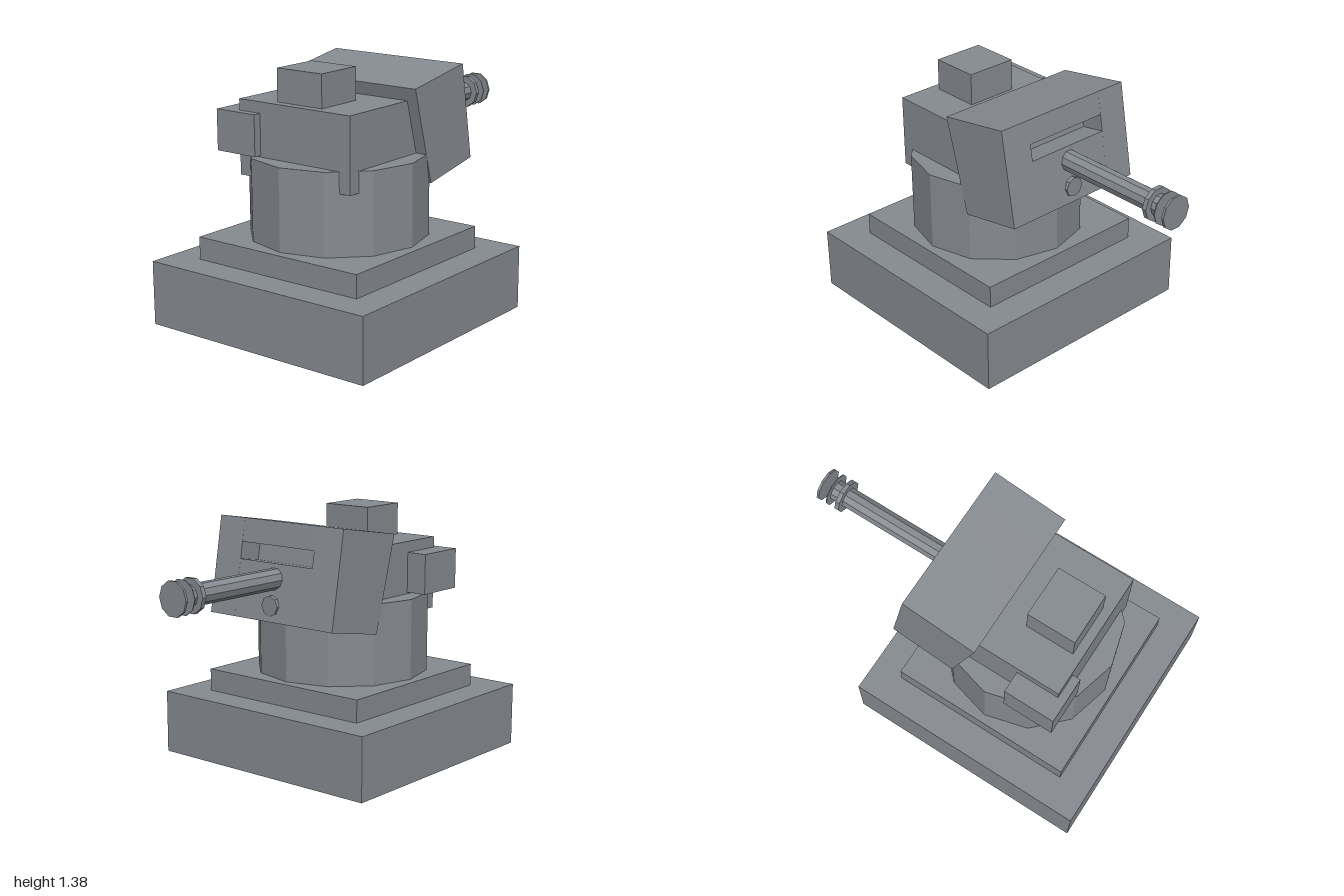
import * as THREE from 'three';

export function createModel() {
  const model = new THREE.Group();
  model.name = 'gunTurret';
  const material = new THREE.MeshStandardMaterial({ color: 0x868b91, flatShading: true });

  function add(name, geometry, parent = model) {
    const mesh = new THREE.Mesh(geometry, material);
    mesh.name = name;
    parent.add(mesh);
    return mesh;
  }

  // Box given by its extents on each axis
  function box(name, x0, x1, y0, y1, z0, z1) {
    const mesh = add(name, new THREE.BoxGeometry(x1 - x0, y1 - y0, z1 - z0));
    mesh.position.set((x0 + x1) / 2, (y0 + y1) / 2, (z0 + z1) / 2);
  }

  // Cylinder lying along x
  function rod(name, x0, x1, y, radius, sides) {
    const geometry = new THREE.CylinderGeometry(radius, radius, x1 - x0, sides).rotateZ(-Math.PI / 2);
    add(name, geometry).position.set((x0 + x1) / 2, y, 0);
  }

  // Stepped base
  box('base', -1, 0.387, 0, 0.347, -0.693, 0.693);
  box('plinth', -0.825, 0.213, 0.347, 0.47, -0.52, 0.52);

  // Twelve-sided turning drum
  add('drum', new THREE.CylinderGeometry(0.477, 0.477, 0.44, 12)).position.set(-0.307, 0.692, 0);

  // Turret housing with its hatch and side box
  box('housing', -0.667, 0, 0.8, 1.2, -0.36, 0.36);
  box('hatch', -0.617, -0.343, 1.2, 1.375, -0.145, 0.145);
  box('sideBox', -0.712, -0.425, 0.92, 1.14, -0.477, -0.22);

  // Tilted shield: plain slices either side of a notched slice that holds the viewing slot
  const shield = new THREE.Group();
  shield.name = 'shield';
  model.add(shield);
  const outline = [[-0.215, 1.27], [-0.07, 0.752], [0.3, 0.82], [0.21, 1.342]];
  const slot = [[0.247, 1.125], [0.109, 1.101], [0.093, 1.191], [0.231, 1.215]];
  const notched = [...outline.slice(0, 3), ...slot, outline[3]];

  function slice(name, points, z0, z1) {
    const shape = new THREE.Shape(points.map(([x, y]) => new THREE.Vector2(x, y)));
    const geometry = new THREE.ExtrudeGeometry(shape, { depth: z1 - z0, bevelEnabled: false });
    add(name, geometry.translate(0, 0, z0), shield);
  }
  slice('shieldLeft', outline, 0.25, 0.425);
  slice('shieldSlot', notched, -0.25, 0.25);
  slice('shieldRight', outline, -0.425, -0.25);

  // Gun barrel with muzzle discs, and the small sight below it
  rod('barrel', 0.15, 0.94, 1.045, 0.058, 10);
  for (const [x0, x1] of [[0.86, 0.885], [0.936, 0.941], [0.987, 1]]) {
    rod('muzzleDisc', x0, x1, 1.045, 0.093, 10);
  }
  rod('sight', 0.12, 0.3, 0.905, 0.055, 8);

  return model;
}
